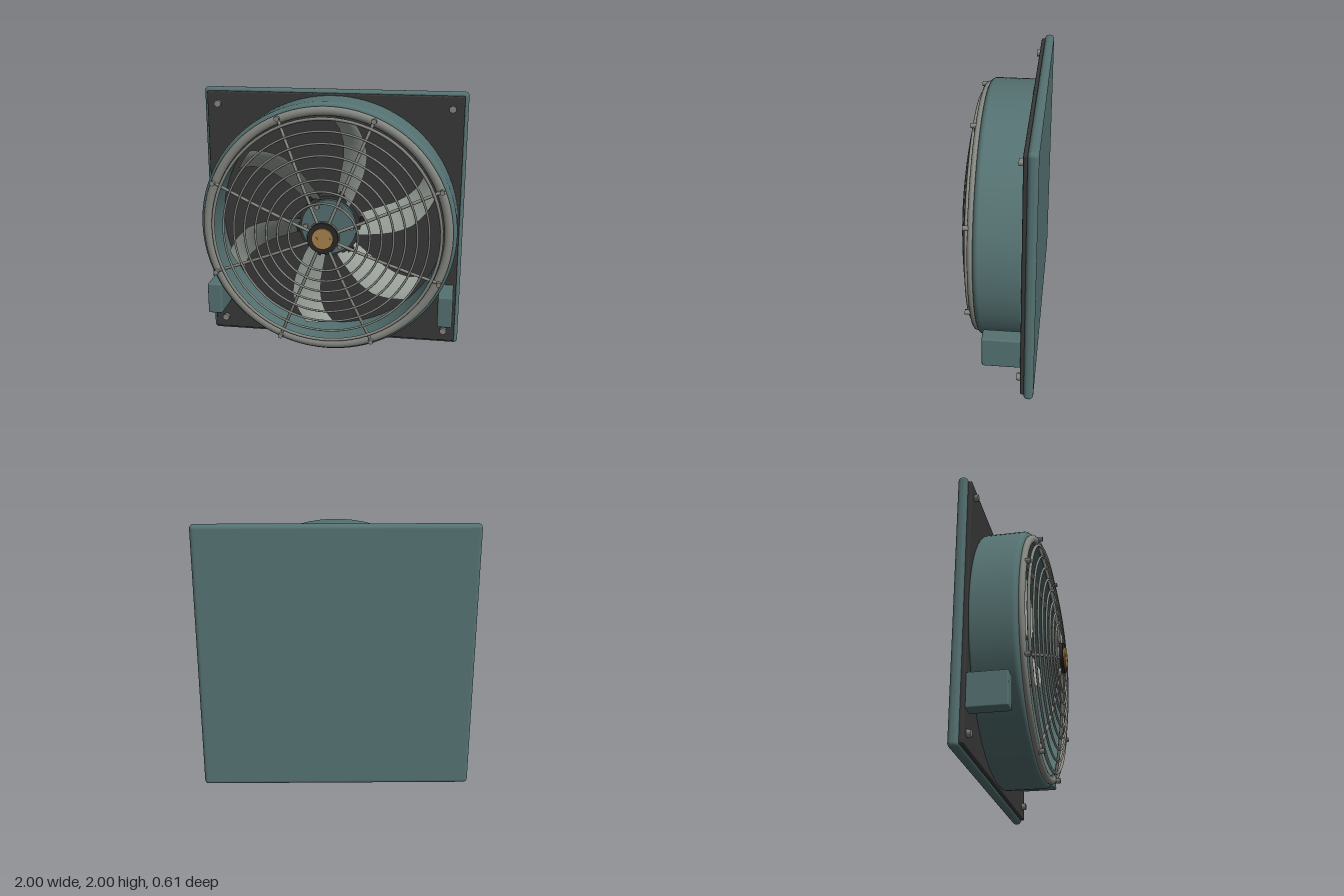
import * as THREE from 'three';
import { RoundedBoxGeometry } from 'three/addons/geometries/RoundedBoxGeometry.js';

const mat = (name, color, side = THREE.FrontSide) => {
  const m = new THREE.MeshStandardMaterial({ color, side });
  m.name = name;
  return m;
};

export function createModel() {
  const teal = mat('teal paint', 0x557171);
  const dark = mat('dark panel', 0x383838);
  const black = mat('black rubber', 0x2b2927);
  const steel = mat('steel', 0x858781);
  const bladeGrey = mat('blade grey', 0x99a19a, THREE.DoubleSide);
  const brass = mat('brass', 0xa8834b);

  const root = new THREE.Group();
  root.name = 'wallFan';
  const fan = new THREE.Group(); // everything round, centred on the axle
  fan.name = 'fan';
  fan.position.y = 1;
  root.add(fan);

  const add = (parent, name, geo, material, x = 0, y = 0, z = 0) => {
    const m = new THREE.Mesh(geo, material);
    m.name = name;
    m.position.set(x, y, z);
    parent.add(m);
    return m;
  };
  // Cylinder along z spanning z0..z1
  const disc = (parent, name, r, z0, z1, material, x = 0, y = 0, sides = 48) =>
    add(parent, name, new THREE.CylinderGeometry(r, r, z1 - z0, sides).rotateX(Math.PI / 2),
      material, x, y, (z0 + z1) / 2);
  // Closed lathe around z from [radius, z] points
  const lathe = (parent, name, pts, material) => {
    const v = [];
    // doubled points keep the profile corners sharp
    pts.forEach(([r, z]) => v.push(new THREE.Vector2(r, z)));
    return add(parent, name, new THREE.LatheGeometry(v, 96).rotateX(Math.PI / 2), material);
  };
  const polar = (r, a) => [r * Math.cos(a), r * Math.sin(a)];

  // Mounting plate
  add(root, 'backPlate', new RoundedBoxGeometry(2, 2, 0.07, 4, 0.03), teal, 0, 1, -0.27);
  add(root, 'frontPanel', new RoundedBoxGeometry(1.945, 1.945, 0.06, 2, 0.012), dark, 0, 1, -0.238);

  for (const sx of [-1, 1]) {
    add(root, 'sideBox', new RoundedBoxGeometry(0.112, 0.245, 0.28, 3, 0.012), teal,
      sx * 0.895, 0.385, -0.075);
    for (const sy of [-1, 1])
      disc(root, 'cornerBolt', 0.028, -0.215, -0.178, steel, sx * 0.885, 1 + sy * 0.88, 6);
  }

  // Drum housing, with softly rounded outer edges
  const corner = (cr, cz, rad, a0, a1) => Array.from({ length: 7 }, (_, i) => {
    const a = a0 + (a1 - a0) * i / 6;
    return [cr + rad * Math.cos(a), cz + rad * Math.sin(a)];
  });
  lathe(fan, 'drum', [
    [0.87, 0.12], [0.87, 0.119], [0.87, -0.209], [0.87, -0.21], [0.871, -0.21], [0.94, -0.21],
    ...corner(0.945, -0.195, 0.015, -Math.PI / 2, 0),
    ...corner(0.92, 0.08, 0.04, 0, Math.PI / 2),
    [0.871, 0.12], [0.87, 0.12],
  ], teal);

  // Guard rim: flattened tube and a slim inner ring
  add(fan, 'guardRim', new THREE.TorusGeometry(0.9, 0.033, 12, 96).scale(1, 1, 0.75), steel, 0, 0, 0.134);

  // Domed wire guard
  const domeZ = r => 0.16 + 0.11 * (1 - (r / 0.9) ** 2);
  for (let i = 0; i < 8; i++) {
    const r = 0.85 - i * 0.085;
    add(fan, 'guardRing', new THREE.TorusGeometry(r, i ? 0.0085 : 0.012, 8, 80), steel, 0, 0, domeZ(r));
  }
  for (let i = 0; i < 8; i++) {
    const a = (i + 0.5) * Math.PI / 4;
    const pts = [0.1, 0.3, 0.5, 0.7, 0.91].map(r =>
      new THREE.Vector3(...polar(r, a), domeZ(r) - 0.012));
    add(fan, 'guardSpoke', new THREE.TubeGeometry(new THREE.CatmullRomCurve3(pts), 16, 0.012, 8), steel);
    disc(fan, 'rimBolt', 0.02, 0.14, 0.188, steel, ...polar(0.91, a), 6);
  }

  // Centre cap
  disc(fan, 'capCollar', 0.122, 0.245, 0.262, steel);
  disc(fan, 'cap', 0.114, 0.235, 0.287, black);
  disc(fan, 'capBadge', 0.078, 0.28, 0.3, brass);
  for (const s of [-1, 1]) disc(fan, 'badgeScrew', 0.013, 0.295, 0.305, brass, s * 0.047, 0, 12);

  // Motor and blade hub
  disc(fan, 'motor', 0.21, -0.21, 0.0, teal);
  disc(fan, 'bladeHub', 0.235, -0.14, -0.03, dark);
  for (let i = 0; i < 6; i++)
    disc(fan, 'motorBolt', 0.019, -0.005, 0.018, steel, ...polar(0.175, i * Math.PI / 3), 6);

  // Swept, twisted blades: [radius, trailing angle, leading angle, half twist depth]
  const sections = [
    [0.22, 80, 46, 0.07], [0.35, 80, 53, 0.075], [0.5, 80, 58, 0.075],
    [0.625, 82, 63, 0.07], [0.73, 85.5, 70, 0.06], [0.82, 91, 77, 0.05],
  ];
  const bladeGeo = new THREE.PlaneGeometry(1, 1, 8, 15);
  const p = bladeGeo.attributes.position;
  for (let i = 0; i < p.count; i++) {
    const u = p.getX(i) + 0.5;
    const t = (p.getY(i) + 0.5) * (sections.length - 1);
    const k = Math.min(Math.floor(t), sections.length - 2);
    const [r, hi, lo, d] = sections[k].map((s, j) => THREE.MathUtils.lerp(s, sections[k + 1][j], t - k));
    const a = THREE.MathUtils.degToRad(THREE.MathUtils.lerp(hi, lo, u));
    // slight camber on top of the twist
    p.setXYZ(i, ...polar(r, a), -0.075 + d * (2 * u - 1) + 0.06 * u * (1 - u));
  }
  bladeGeo.computeVertexNormals();
  const clampGeo = new THREE.BoxGeometry(0.06, 0.09, 0.06);
  for (let i = 0; i < 6; i++) {
    const holder = new THREE.Group();
    holder.name = 'bladeAssembly';
    holder.rotation.z = i * Math.PI / 3;
    fan.add(holder);
    add(holder, 'blade', bladeGeo, bladeGrey);
    const a = THREE.MathUtils.degToRad(64);
    const clamp = add(holder, 'bladeClamp', clampGeo, black, ...polar(0.23, a), -0.09);
    clamp.rotation.z = a;
  }
  return root;
}
